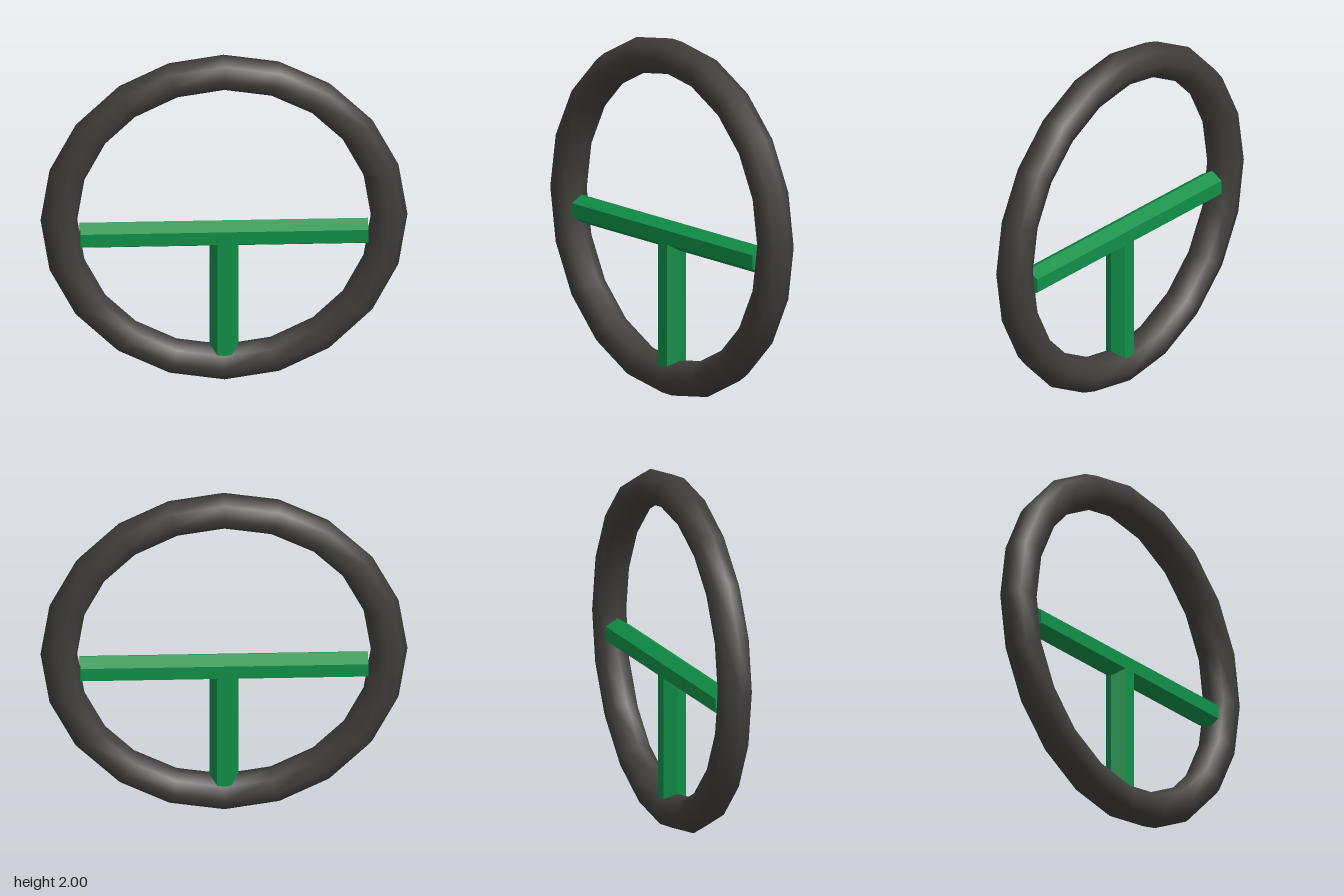
import * as THREE from 'three';

const RIM_RADIUS = 0.9, TUBE = 0.1, SPOKE = 0.078;

// Upright hexagonal bar with a flat side facing the front
function hexBar(name, length, material) {
  const geometry = new THREE.CylinderGeometry(SPOKE, SPOKE, length, 6).rotateY(Math.PI / 6);
  const mesh = new THREE.Mesh(geometry, material);
  mesh.name = name;
  return mesh;
}

export function createModel() {
  const wheel = new THREE.Group();
  wheel.name = 'steeringWheel';
  const dark = new THREE.MeshStandardMaterial({ color: 0x403e3b });
  const green = new THREE.MeshStandardMaterial({ color: 0x109048, flatShading: true });

  // Rim: smooth-shaded ring of 20 segments
  const rim = new THREE.Mesh(new THREE.TorusGeometry(RIM_RADIUS, TUBE, 8, 20), dark);
  rim.name = 'rim';
  rim.position.y = 1;

  // Crossbar spans the rim just below its centre
  const crossbar = hexBar('crossbar', 1.57, green);
  crossbar.rotation.z = Math.PI / 2;
  crossbar.position.y = 0.902;

  // Lower spoke runs from the crossbar into the bottom of the rim
  const top = 0.902 - SPOKE / 2, bottom = 0.1;
  const lowerSpoke = hexBar('lowerSpoke', top - bottom, green);
  lowerSpoke.position.y = (top + bottom) / 2;

  wheel.add(rim, crossbar, lowerSpoke);
  return wheel;
}
